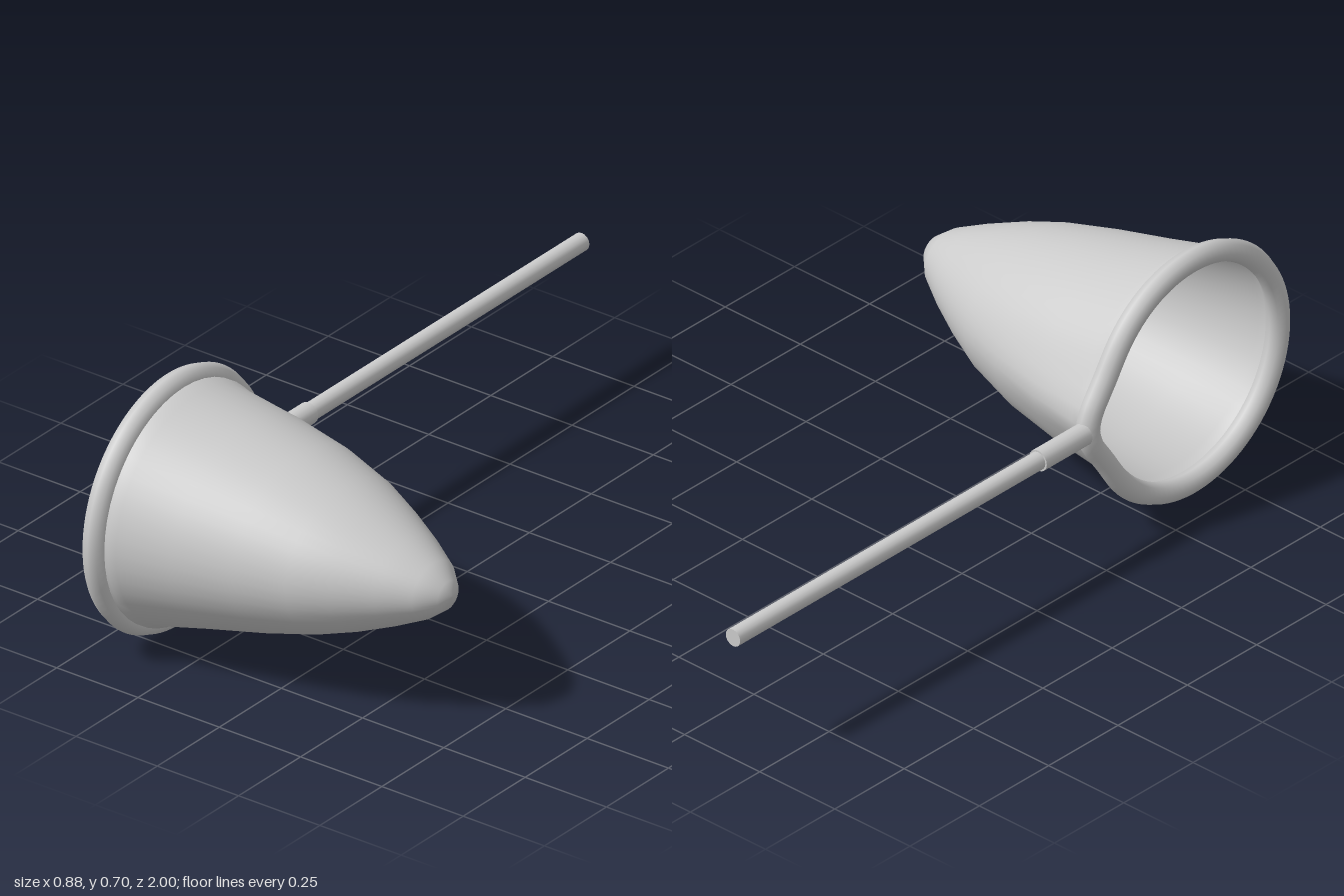
import * as THREE from 'three';

const HOOP_X = -0.407, CY = 0.351, HOOP_Z = 0.649;

// 1 at the side facing the handle, fading quickly to 0 on either side
const pinch = (a) => Math.exp(-(((a - Math.PI) / 0.27) ** 2));

// Stations of the bag: x, half height, half depth, centre z, point towards the handle
const STATIONS = [
  [-0.4, 0.32, 0.32, 0.648, 0.042],
  [-0.366, 0.32, 0.322, 0.648, 0.042],
  [-0.345, 0.307, 0.32, 0.646, 0.036],
  [-0.2, 0.272, 0.305, 0.632, 0.018],
  [-0.04, 0.236, 0.275, 0.625, 0.004],
  [0.1, 0.195, 0.237, 0.628, 0],
  [0.2, 0.158, 0.193, 0.632, 0],
  [0.3, 0.115, 0.138, 0.633, 0],
  [0.38, 0.075, 0.088, 0.635, 0],
  [0.426, 0.039, 0.043, 0.636, 0],
  [0.437, 0.002, 0.002, 0.636, 0],
];

function bagGeometry(sides = 48) {
  const pos = [], index = [];
  STATIONS.forEach(([x, h, w, cz, point], i) => {
    for (let j = 0; j < sides; j++) {
      const a = (j / sides) * Math.PI * 2;
      pos.push(x, CY + h * Math.sin(a), cz + w * Math.cos(a) - point * pinch(a));
      if (i === STATIONS.length - 1) continue;
      const p = i * sides + j, q = i * sides + ((j + 1) % sides);
      index.push(p, p + sides, q, q, p + sides, q + sides);
    }
  });
  // Close the tip
  const tip = (STATIONS.length - 1) * sides;
  for (let j = 1; j < sides - 1; j++) index.push(tip, tip + j + 1, tip + j);
  const g = new THREE.BufferGeometry();
  g.setAttribute('position', new THREE.Float32BufferAttribute(pos, 3));
  g.setIndex(index);
  g.computeVertexNormals();
  return g;
}

export function createModel() {
  const group = new THREE.Group();
  const material = new THREE.MeshStandardMaterial({ color: 0xcccccc });
  const clothMaterial = new THREE.MeshStandardMaterial({ color: 0xcccccc, side: THREE.DoubleSide });
  const add = (name, geometry, mat = material) => {
    const mesh = new THREE.Mesh(geometry, mat);
    mesh.name = name;
    group.add(mesh);
    return mesh;
  };

  // Teardrop hoop that holds the bag open
  const path = [];
  for (let i = 0; i < 48; i++) {
    const a = (i / 48) * Math.PI * 2;
    const r = 0.32 + 0.045 * pinch(a);
    path.push(new THREE.Vector3(HOOP_X, CY + r * Math.sin(a), HOOP_Z + r * Math.cos(a)));
  }
  add('hoop', new THREE.TubeGeometry(new THREE.CatmullRomCurve3(path, true), 96, 0.03, 8, true));

  // Tapering bag, open at the hoop
  add('netBag', bagGeometry(), clothMaterial);

  // Rods along z between two positions
  const rod = (name, radius, z0, z1) => {
    const mesh = add(name, new THREE.CylinderGeometry(radius, radius, z1 - z0, 16));
    mesh.rotation.x = Math.PI / 2;
    mesh.position.set(HOOP_X - 0.004, CY, (z0 + z1) / 2);
  };
  rod('handle', 0.024, -1, 0.12);
  rod('handleSleeve', 0.029, 0.1, 0.265);

  return group;
}
